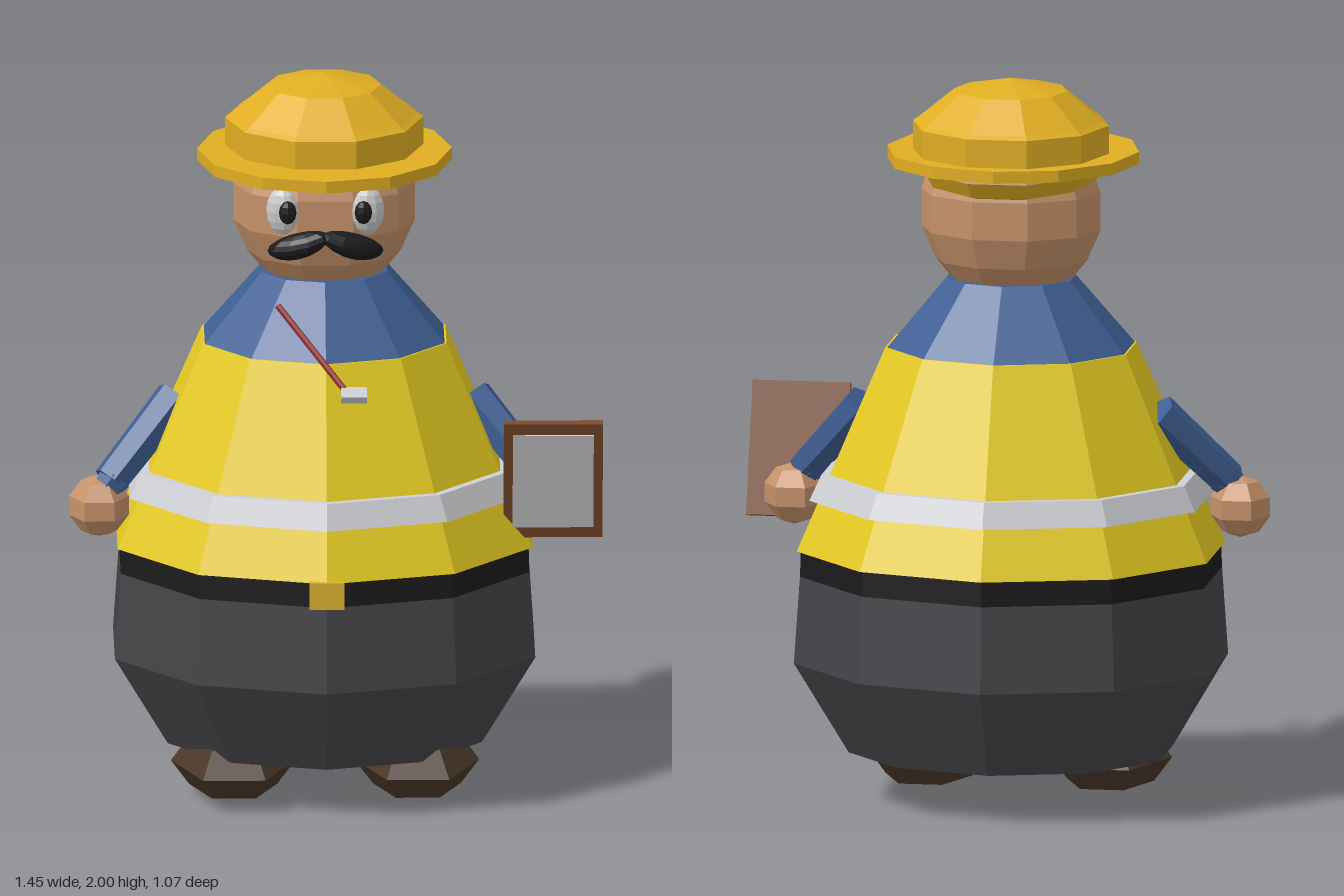
import * as THREE from 'three';

const mat = (color) => new THREE.MeshStandardMaterial({ color, flatShading: true, side: THREE.DoubleSide });
const yellow = mat(0xe6cb22), hatYellow = mat(0xe0ae22), blue = mat(0x3f5f94), skin = mat(0xc6926a);
const grey = mat(0x454549), black = mat(0x1b1b1d), silver = mat(0xcfd0d4), white = mat(0xe6e6e6);
const shoeBrown = mat(0x4a3828), boardBrown = mat(0x7a4a2e), red = mat(0x8f2a2a), gold = mat(0xd9b02c);

export function createModel() {
  const model = new THREE.Group();
  const figure = new THREE.Group();
  figure.name = 'figure';
  figure.position.x = -0.03;
  model.add(figure);

  const add = (name, geometry, material, x = 0, y = 0, z = 0) => {
    const mesh = new THREE.Mesh(geometry, material);
    mesh.name = name;
    mesh.position.set(x, y, z);
    figure.add(mesh);
    return mesh;
  };
  // Faceted ring-by-ring solid from [radius, height] pairs, listed bottom to top
  const turned = (rings, sides = 10, start = 0) =>
    new THREE.LatheGeometry(rings.map(([r, y]) => new THREE.Vector2(r, y)), sides, start);
  const blob = (rx, ry, rz, w, h) => new THREE.SphereGeometry(1, w, h).scale(rx, ry, rz);
  // Tapered bar between two points
  const bar = (name, material, a, b, ra, rb, sides) => {
    const from = new THREE.Vector3(...a), to = new THREE.Vector3(...b);
    const dir = to.clone().sub(from);
    const mesh = add(name, new THREE.CylinderGeometry(rb, ra, dir.length(), sides), material);
    mesh.position.copy(from).lerp(to, 0.5);
    mesh.quaternion.setFromUnitVectors(new THREE.Vector3(0, 1, 0), dir.normalize());
    return mesh;
  };

  // Ten-sided body, a little wider than deep
  const body = (name, rings, material) => add(name, turned(rings).scale(1.125, 1, 1), material);
  body('trousers', [[0, 0.14], [0.4, 0.14], [0.535, 0.39], [0.52, 0.63]], grey);
  body('belt', [[0.5, 0.62], [0.52, 0.62], [0.518, 0.705], [0.5, 0.705]], black);
  body('vest', [[0.5, 0.7], [0.528, 0.7], [0.31, 1.26], [0.29, 1.26]], yellow);
  body('vestStripe', [[0.46, 0.84], [0.497, 0.84], [0.468, 0.91], [0.43, 0.91], [0.46, 0.84]], silver);
  body('shirt', [[0.31, 1.25], [0.305, 1.26], [0.16, 1.45], [0, 1.45]], blue);
  add('buckle', new THREE.BoxGeometry(0.095, 0.075, 0.035), gold, 0, 0.667, 0.518);

  // Head, with flat facets facing front and back
  const flatFront = Math.PI / 10;
  const headRings = [[0, 1.435], [0.165, 1.445], [0.21, 1.5], [0.247, 1.585], [0.247, 1.69], [0.22, 1.76]];
  add('head', turned(headRings, 10, flatFront).scale(1, 1, 0.84), skin);

  // Hat: crown, offset brim, and the lining that dips at the back
  add('hatCrown', turned([[0.27, 1.78], [0.27, 1.875], [0.255, 1.885], [0.155, 1.967], [0, 2]], 10, flatFront), hatYellow);
  add('hatBrim', new THREE.CylinderGeometry(0.347, 0.347, 0.033, 12), hatYellow, 0, 1.781, 0.037);
  const lining = add('hatLining', turned([[0.21, -0.055], [0.238, -0.045], [0.262, 0]], 10, flatFront), hatYellow, 0, 1.772, 0);
  lining.rotation.x = -0.09;

  for (const side of [-1, 1]) {
    const label = side > 0 ? 'left' : 'right';

    // Face
    const eye = add(label + 'Eye', blob(0.046, 0.067, 0.03, 10, 8), white, side * 0.117, 1.667, 0.208);
    eye.rotation.y = side * 0.3;
    add(label + 'Pupil', blob(0.024, 0.033, 0.015, 8, 6), black, side * 0.103, 1.67, 0.238);

    // Moustache half: spindle that droops and curls up at the tip
    const half = blob(0.085, 0.036, 0.04, 10, 8);
    const p = half.attributes.position;
    for (let i = 0; i < p.count; i++) {
      const t = p.getX(i) / 0.085;
      p.setY(i, p.getY(i) - 0.024 * t + 0.006 * t * t);
      p.setZ(i, p.getZ(i) - 0.02 * t);
    }
    if (side < 0) half.rotateY(Math.PI).scale(1, 1, -1).index.array.reverse();
    add(label + 'Moustache', half, black, side * 0.073, 1.578, 0.245);

    // Arm, cuff and hand
    bar(label + 'Arm', blue, [side * 0.405, 1.085, -0.005], [side * 0.585, 0.88, 0.115], 0.056, 0.05, 6);
    bar(label + 'Cuff', blue, [side * 0.57, 0.89, 0.11], [side * 0.605, 0.845, 0.125], 0.048, 0.038, 6);
    add(label + 'Hand', blob(0.086, 0.086, 0.088, 6, 5), skin, side * 0.615, 0.81, 0.11);

    // Shoe
    add(label + 'Shoe', blob(0.17, 0.095, 0.245, 6, 4), shoeBrown, side * 0.25, 0.1, 0.152);
  }

  // Whistle on its cord
  bar('whistleCord', red, [-0.13, 1.41, 0.247], [0.055, 1.205, 0.395], 0.009, 0.009, 6);
  add('whistle', new THREE.CylinderGeometry(0.023, 0.023, 0.07, 6).rotateZ(Math.PI / 2), silver, 0.075, 1.198, 0.397);

  // Clipboard leaning forward in the left hand
  const clipboard = new THREE.Group();
  clipboard.name = 'clipboard';
  clipboard.position.set(0.62, 0.91, 0.22);
  clipboard.rotation.x = 0.32;
  const board = add('board', new THREE.BoxGeometry(0.27, 0.37, 0.02), boardBrown);
  const paper = add('paper', new THREE.BoxGeometry(0.22, 0.3, 0.006), white, 0, 0, 0.011);
  clipboard.add(board, paper);
  figure.add(clipboard);

  return model;
}
